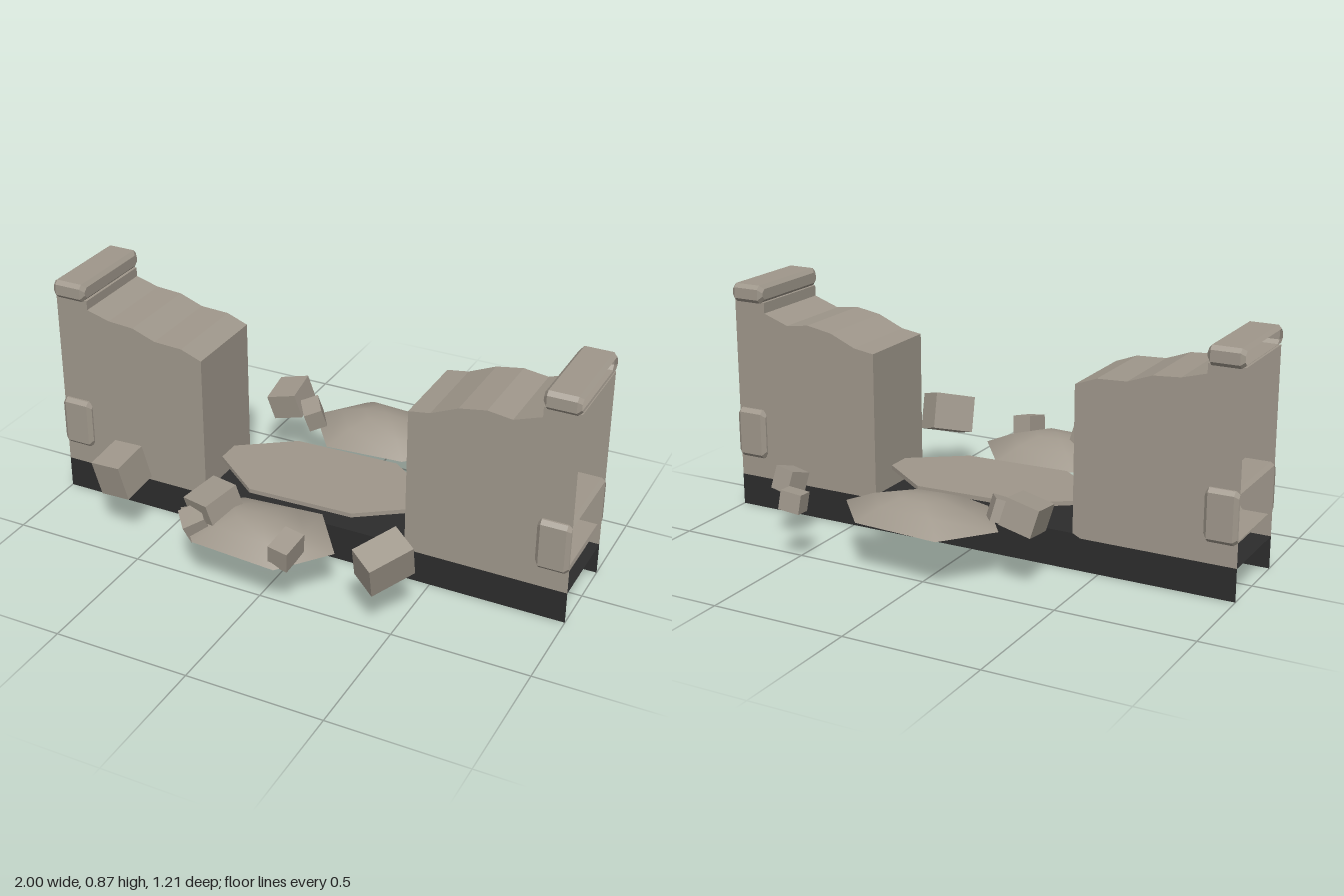
import * as THREE from 'three';

const stone = new THREE.MeshStandardMaterial({ color: 0x9f978b, side: THREE.DoubleSide });
stone.name = 'stone';
const dark = new THREE.MeshStandardMaterial({ color: 0x2c2c2c, side: THREE.DoubleSide });
dark.name = 'dark footing';

const MID = 0.008;   // wall centre line in z
const HALF = 0.167;  // half the wall thickness

function add(parent, name, geometry, material) {
  const mesh = new THREE.Mesh(geometry, material);
  mesh.name = name;
  parent.add(mesh);
  return mesh;
}

function fromTriangles(positions) {
  const g = new THREE.BufferGeometry();
  g.setAttribute('position', new THREE.Float32BufferAttribute(positions, 3));
  g.computeVertexNormals();
  return g;
}

const shapeOf = (pts) => new THREE.Shape(pts.map(([x, y]) => new THREE.Vector2(x, y)));

// Front and back faces with the same outline
function addFaces(parent, name, pts, material) {
  add(parent, name + 'Front', new THREE.ShapeGeometry(shapeOf(pts)), material).position.z = HALF;
  const back = new THREE.ShapeGeometry(shapeOf(pts.map(([x, y]) => [-x, y]))).rotateY(Math.PI);
  add(parent, name + 'Back', back, material).position.z = -HALF;
}

// Band across the wall thickness along an x,y path running towards -x
function band(pts) {
  const p = [];
  for (let i = 0; i < pts.length - 1; i++) {
    const [ax, ay] = pts[i], [bx, by] = pts[i + 1];
    p.push(ax, ay, HALF, ax, ay, -HALF, bx, by, -HALF, ax, ay, HALF, bx, by, -HALF, bx, by, HALF);
  }
  return fromTriangles(p);
}

// Chamfered trim running around the wall end, open on its outer side
function trim(x0, y0, y1) {
  const c = 0.014, x1 = 1, zh = 0.188;
  const ring = (x, d) => {
    const h = zh - d, a = y0 + d, b = y1 - d;
    return [[h, a + c], [h, b - c], [h - c, b], [c - h, b], [-h, b - c], [-h, a + c], [c - h, a], [h - c, a]]
      .map(([z, y]) => [x, y, z]);
  };
  const rings = [ring(x0, c), ring(x0 + c, 0), ring(x1 - c, 0), ring(x1, c * 0.7)];
  const p = [];
  for (let r = 0; r < 3; r++) {
    for (let i = 0; i < 8; i++) {
      const j = (i + 1) % 8, A = rings[r], B = rings[r + 1];
      p.push(...A[i], ...B[i], ...B[j], ...A[i], ...B[j], ...A[j]);
    }
  }
  for (let i = 1; i < 7; i++) p.push(...rings[0][0], ...rings[0][i], ...rings[0][i + 1]);
  return fromTriangles(p);
}

// One broken wall half, modelled on the +x side
function wallHalf(name, jagged) {
  const half = new THREE.Group();
  half.name = name;
  const top = [[1, 0.805], [0.87, 0.805], ...jagged, [0.4, 0.67], [0.4, 0.135]];
  addFaces(half, 'wall', [...top, [0.43, 0.12], [1, 0.12]], stone);
  add(half, 'brokenEdge', band(top), stone);
  add(half, 'topTrim', trim(0.87, 0.802, 0.87), stone);
  add(half, 'lowerTrim', trim(0.88, 0.2, 0.39), stone);
  return half;
}

// Low smooth heap with a closed underside
function mound() {
  const outline = [[-0.25, -0.42], [-0.11, -0.6], [0.22, -0.575], [0.37, -0.4], [0.2, -0.24], [-0.1, -0.215]];
  const cx = 0.05, cz = -0.42, n = outline.length;
  const pos = [], idx = [];
  for (const [k, y] of [[1, 0.2], [0.62, 0.25], [0.3, 0.277]]) {
    for (const [x, z] of outline) pos.push(cx + (x - cx) * k, y, cz + (z - cz) * k);
  }
  pos.push(cx, 0.283, cz);
  for (let i = 0; i < n; i++) {
    const j = (i + 1) % n;
    for (let r = 0; r < 2; r++) {
      const a = r * n;
      idx.push(a + i, a + j + n, a + j, a + i, a + i + n, a + j + n);
    }
    idx.push(2 * n + i, 3 * n, 2 * n + j);
  }
  const g = new THREE.BufferGeometry();
  g.setAttribute('position', new THREE.Float32BufferAttribute(pos, 3));
  g.setIndex(idx);
  g.computeVertexNormals();
  const under = new THREE.ShapeGeometry(shapeOf(outline)).rotateX(Math.PI / 2).translate(0, 0.2, 0);
  return [g, under];
}

export function createModel() {
  const model = new THREE.Group();
  model.name = 'brokenWall';
  const wall = new THREE.Group();
  wall.name = 'wall';
  wall.position.z = MID;
  model.add(wall);

  // Wall halves either side of the gap
  wall.add(wallHalf('leftHalf', [[0.87, 0.765], [0.77, 0.73], [0.68, 0.742], [0.58, 0.725], [0.48, 0.682]]));
  const right = wallHalf('rightHalf', [[0.87, 0.77], [0.78, 0.745], [0.68, 0.738], [0.59, 0.705], [0.48, 0.7]]);
  right.rotation.y = Math.PI;
  wall.add(right);

  // Hollow dark footing, slightly raised in the gap
  const floor = [[1, 0.12], [0.43, 0.12], [0.4, 0.135], [-0.4, 0.135], [-0.43, 0.12], [-1, 0.12]];
  addFaces(wall, 'footing', [...floor, [-1, 0], [1, 0]], dark);
  add(wall, 'footingTop', band(floor), dark);
  for (const s of [-1, 1]) {
    const rib = add(wall, 'footingRib', new THREE.PlaneGeometry(2 * HALF, 0.13), dark);
    rib.rotation.y = s * Math.PI / 2;
    rib.position.set(s * 0.4, 0.065, 0);
  }

  // Flat rubble slab in the gap
  const slabOutline = [[-0.4, -0.04], [-0.2, -0.18], [0.2, -0.195], [0.4, -0.045],
    [0.4, 0.05], [0.2, 0.19], [-0.2, 0.205], [-0.4, 0.05]];
  const slab = new THREE.ExtrudeGeometry(shapeOf(slabOutline), { depth: 0.016, bevelEnabled: false });
  add(model, 'rubbleSlab', slab.rotateX(Math.PI / 2), stone).position.y = 0.217;

  // Heaps behind and in front
  for (const [name, turn] of [['backHeap', 0], ['frontHeap', Math.PI]]) {
    const heap = new THREE.Group();
    heap.name = name;
    const [dome, under] = mound();
    add(heap, 'heapTop', dome, stone);
    add(heap, 'heapUnderside', under, stone);
    heap.rotation.y = turn;
    model.add(heap);
  }

  // Fallen blocks: position, size, rotation
  const blocks = [
    [-0.635, 0.265, 0.365, 0.125, 0.14, 0.14, 0.2, -0.1, 0.14],
    [0.46, 0.27, 0.48, 0.11, 0.14, 0.17, 0.3, -0.6, -0.12],
    [-0.215, 0.285, 0.43, 0.13, 0.09, 0.14, 0.25, -0.35, 0.25],
    [-0.25, 0.23, 0.5, 0.08, 0.08, 0.09, 0.3, 0.7, 0.2],
    [0.125, 0.25, 0.535, 0.075, 0.085, 0.11, 0.2, -0.1, -0.12],
    [-0.34, 0.27, -0.39, 0.12, 0.1, 0.14, 0.15, 0.08, 0.25],
    [-0.22, 0.25, -0.345, 0.07, 0.08, 0.1, 0.2, 0.6, 0.2],
    [0.47, 0.237, -0.575, 0.08, 0.07, 0.063, 0.1, 0.1, 0.12],
    [0.615, 0.23, -0.39, 0.085, 0.085, 0.085, 0.3, -0.2, 0.15],
  ];
  for (const [x, y, z, w, h, d, rx, ry, rz] of blocks) {
    const block = add(model, 'fallenBlock', new THREE.BoxGeometry(w, h, d), stone);
    block.position.set(x, y, z);
    block.rotation.set(rx, ry, rz);
  }
  return model;
}
